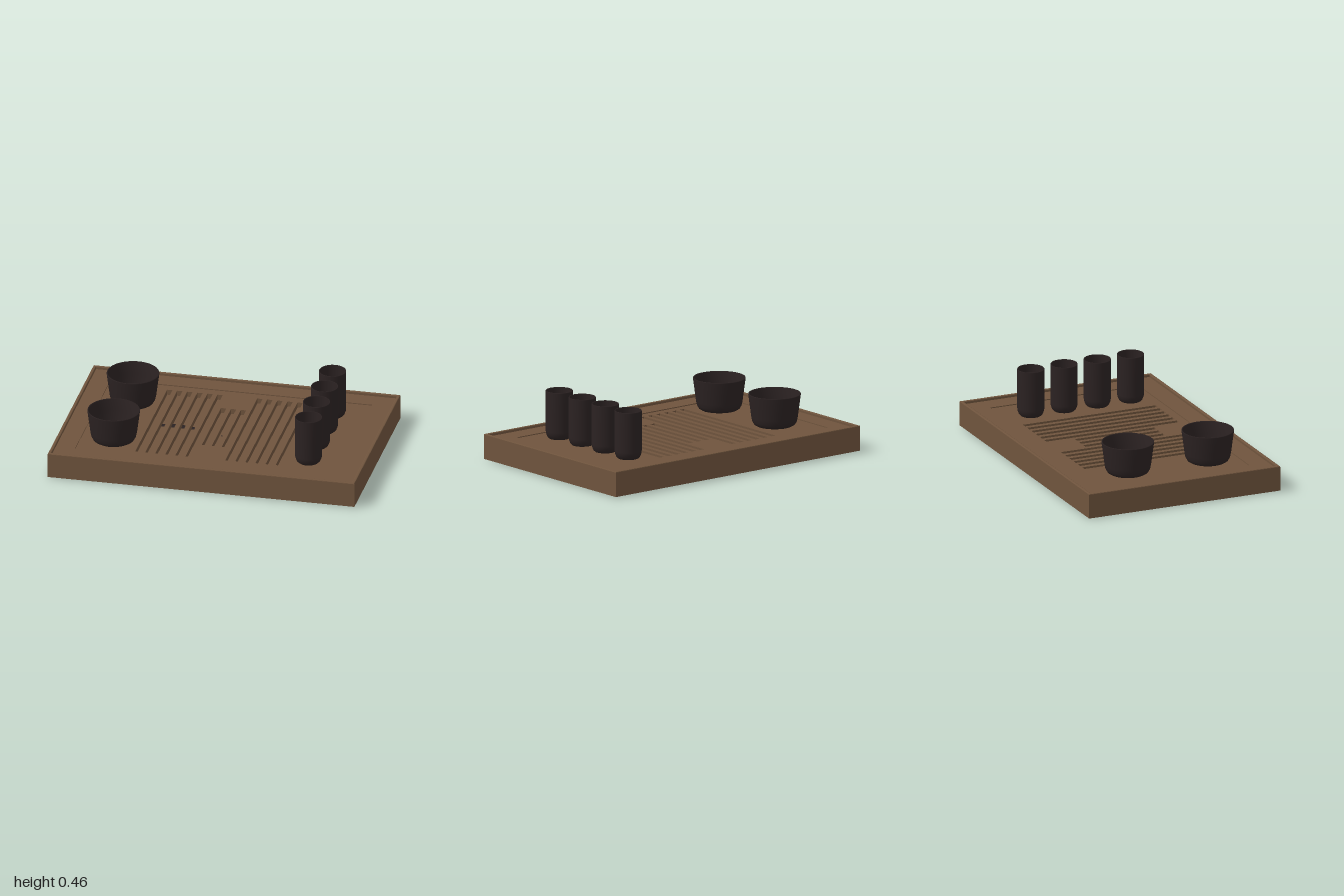
import * as THREE from 'three';

const wood = new THREE.MeshStandardMaterial({ color: 0x6f543d });
wood.name = 'brown wood';
const clay = new THREE.MeshStandardMaterial({ color: 0x2b2222 });
clay.name = 'dark clay';

// Rectangular outline given in tray coordinates (x, z)
function rect(x0, x1, z0, z1, Kind = THREE.Shape) {
  const r = new Kind();
  r.moveTo(x0, -z1);
  r.lineTo(x1, -z1);
  r.lineTo(x1, -z0);
  r.lineTo(x0, -z0);
  r.closePath();
  return r;
}

// Horizontal wooden layer between two heights, with cut-outs
function layer(name, holes, y0, y1, bevel = 0) {
  const shape = rect(-1, 1, -0.667, 0.667);
  shape.holes.push(...holes);
  const geo = new THREE.ExtrudeGeometry(shape, {
    depth: y1 - y0 - 2 * bevel,
    bevelEnabled: bevel > 0,
    bevelSize: bevel,
    bevelThickness: bevel,
    bevelOffset: -bevel,
    bevelSegments: 2,
  });
  geo.rotateX(-Math.PI / 2);
  geo.translate(0, y0 + bevel, 0);
  const mesh = new THREE.Mesh(geo, wood);
  mesh.name = name;
  return mesh;
}

// Hollow vessel turned from an outside-then-inside profile
function vessel(name, profile, x, z) {
  const points = profile.map(([r, y]) => new THREE.Vector2(r, y));
  const mesh = new THREE.Mesh(new THREE.LatheGeometry(points, 40), clay);
  mesh.name = name;
  mesh.position.set(x, 0.143, z);
  return mesh;
}

export function createModel() {
  const model = new THREE.Group();
  model.name = 'teaTray';

  // Drainage slots: six long ones on each side, three short in the middle
  const slots = [];
  const addSlot = (x, z) => slots.push(rect(x - 0.017, x + 0.017, -z, z, THREE.Path));
  for (const side of [-1, 1]) {
    for (let i = 0; i < 6; i++) addSlot(side * (0.13 + i * 0.0655), 0.463);
  }
  for (let i = -1; i <= 1; i++) addSlot(i * 0.065, 0.277);

  // Tray, from the bottom up
  const tray = new THREE.Group();
  tray.name = 'tray';
  tray.add(
    layer('trayBase', [], 0.003, 0.108),
    layer('slottedPanel', slots, 0.108, 0.143),
    layer('panelSurround', [rect(-0.855, 0.85, -0.522, 0.518, THREE.Path)], 0.143, 0.149),
    layer('trayRim', [rect(-0.98, 0.98, -0.647, 0.647, THREE.Path)], 0.13, 0.167, 0.005),
  );
  model.add(tray);

  // Drain hose lying under the slots and leaving through the base
  const path = new THREE.CatmullRomCurve3([
    new THREE.Vector3(0.035, 0.085, 0.06),
    new THREE.Vector3(-0.06, 0.07, 0.03),
    new THREE.Vector3(-0.2, 0.082, -0.018),
    new THREE.Vector3(-0.33, 0.088, -0.025),
    new THREE.Vector3(-0.42, 0.082, -0.025),
    new THREE.Vector3(-0.58, 0.055, -0.2),
    new THREE.Vector3(-0.7, 0.031, -0.4),
    new THREE.Vector3(-0.85, 0.031, -0.42),
  ]);
  const hose = new THREE.Mesh(new THREE.TubeGeometry(path, 48, 0.031, 12), clay);
  hose.name = 'drainHose';
  model.add(hose);

  // Two wide bowls
  const bowl = [
    [0, 0], [0.115, 0], [0.132, 0.01], [0.143, 0.03], [0.149, 0.06], [0.158, 0.13],
    [0.168, 0.205], [0.166, 0.21], [0.159, 0.207], [0.15, 0.13], [0.141, 0.06],
    [0.133, 0.03], [0.12, 0.015], [0, 0.013],
  ];
  for (const z of [-0.238, 0.32]) model.add(vessel('bowl', bowl, -0.647, z));

  // Four tall cups
  const cup = [
    [0, 0], [0.066, 0], [0.076, 0.01], [0.084, 0.03], [0.087, 0.05], [0.087, 0.308],
    [0.085, 0.312], [0.08, 0.309], [0.079, 0.05], [0.075, 0.03], [0.065, 0.015], [0, 0.013],
  ];
  for (let i = 0; i < 4; i++) model.add(vessel('cup', cup, 0.632, -0.337 + i * 0.232));

  return model;
}
